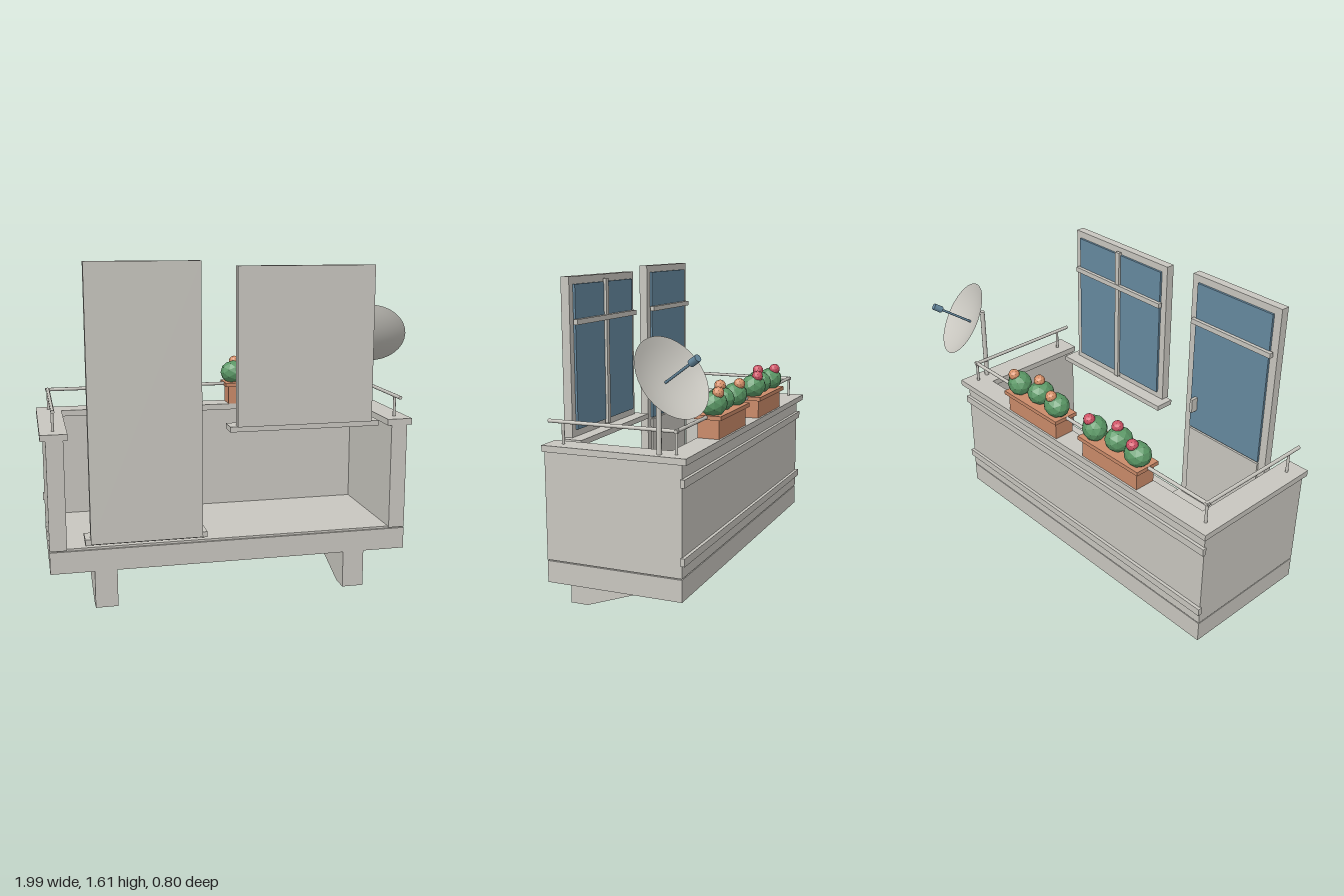
import * as THREE from 'three';

const mat = (name, color, opts = {}) => {
  const m = new THREE.MeshStandardMaterial({ color, ...opts });
  m.name = name;
  return m;
};

export function createModel() {
  const model = new THREE.Group();
  model.name = 'balcony';

  const stone = mat('stone grey', 0xc8c6bf);
  const dishGrey = mat('dish grey', 0xc8c6bf, { side: THREE.DoubleSide });
  const glass = mat('glass blue', 0x66899f);
  const clay = mat('terracotta', 0xca8a69);
  const leaf = mat('leaf green', 0x5a9765, { flatShading: true });
  const red = mat('red flower', 0xcf5265, { flatShading: true });
  const orange = mat('orange flower', 0xd79068, { flatShading: true });

  const add = (name, geo, material, parent = model) => {
    const mesh = new THREE.Mesh(geo, material);
    mesh.name = name;
    parent.add(mesh);
    return mesh;
  };
  // Box given by its lower and upper limits on each axis
  const box = (name, x0, x1, y0, y1, z0, z1, material = stone, parent = model) => {
    const mesh = add(name, new THREE.BoxGeometry(x1 - x0, y1 - y0, z1 - z0), material, parent);
    mesh.position.set((x0 + x1) / 2, (y0 + y1) / 2, (z0 + z1) / 2);
    return mesh;
  };
  // Round bar between two points
  const bar = (name, a, b, r, material = stone, parent = model, sides = 10) => {
    const p = new THREE.Vector3(...a), q = new THREE.Vector3(...b);
    const dir = q.clone().sub(p);
    const mesh = add(name, new THREE.CylinderGeometry(r, r, dir.length(), sides), material, parent);
    mesh.position.copy(p).add(q).multiplyScalar(0.5);
    mesh.quaternion.setFromUnitVectors(new THREE.Vector3(0, 1, 0), dir.normalize());
    return mesh;
  };

  // Floor slab and parapet walls
  box('floorSlab', -0.975, 0.765, 0.18, 0.285, -0.28, 0.4);
  box('rightWall', -0.975, -0.895, 0.29, 0.81, -0.28, 0.4);
  box('leftWall', 0.685, 0.765, 0.29, 0.81, -0.28, 0.4);
  box('outerWall', -0.895, 0.685, 0.29, 0.81, -0.28, -0.2);
  box('floorTop', -0.965, 0.755, 0.285, 0.295, -0.27, 0.39);

  // Coping on the walls
  box('rightCoping', -1, -0.875, 0.81, 0.84, -0.31, 0.4);
  box('leftCoping', 0.665, 0.79, 0.81, 0.84, -0.31, 0.4);
  box('outerCoping', -0.875, 0.665, 0.81, 0.84, -0.31, -0.19);

  // Mouldings across the outer face
  for (const y of [0.35, 0.705]) box('moulding', -0.982, 0.772, y, y + 0.037, -0.296, -0.275);

  // Wedge brackets below the slab
  const wedge = new THREE.Shape([[-0.4, 0], [-0.31, 0], [0.2, 0.18], [-0.4, 0.18]]
    .map(([x, y]) => new THREE.Vector2(x, y)));
  const wedgeGeo = new THREE.ExtrudeGeometry(wedge, { depth: 0.106, bevelEnabled: false });
  for (const x of [-0.665, 0.555]) {
    const bracket = add('bracket', wedgeGeo, stone);
    bracket.rotation.y = Math.PI / 2;
    bracket.position.x = x - 0.106;
  }

  // Handrail
  const railing = new THREE.Group();
  railing.name = 'railing';
  model.add(railing);
  bar('outerRail', [-0.95, 0.943, -0.24], [0.74, 0.943, -0.24], 0.009, stone, railing);
  for (const x of [-0.938, 0.728]) {
    bar('sideRail', [x, 0.943, -0.25], [x, 0.943, 0.395], 0.009, stone, railing);
    for (const z of [-0.24, 0.32]) bar('railPost', [x, 0.84, z], [x, 0.943, z], 0.007, stone, railing);
  }

  // Door
  const door = new THREE.Group();
  door.name = 'door';
  model.add(door);
  box('doorFrame', -0.785, -0.255, 0.31, 1.61, 0.357, 0.4, stone, door);
  box('doorStep', -0.81, -0.232, 0.305, 0.332, 0.28, 0.39, stone, door);
  box('doorGlass', -0.745, -0.295, 0.78, 1.575, 0.346, 0.358, glass, door);
  box('doorPanel', -0.745, -0.295, 0.37, 0.77, 0.346, 0.358, stone, door);
  box('doorTransom', -0.765, -0.28, 1.368, 1.393, 0.328, 0.35, stone, door);
  box('doorHandle', -0.338, -0.322, 0.89, 0.965, 0.308, 0.347, stone, door);

  // Window
  const win = new THREE.Group();
  win.name = 'window';
  model.add(win);
  box('windowFrame', -0.085, 0.58, 0.835, 1.585, 0.357, 0.4, stone, win);
  box('windowSill', -0.12, 0.62, 0.81, 0.836, 0.29, 0.39, stone, win);
  box('windowGlass', -0.05, 0.545, 0.87, 1.55, 0.346, 0.358, glass, win);
  box('windowMullion', 0.233, 0.26, 0.85, 1.565, 0.333, 0.35, stone, win);
  box('windowTransom', -0.062, 0.557, 1.365, 1.39, 0.328, 0.35, stone, win);

  // Flower boxes, each with three bushes
  const bushGeo = new THREE.IcosahedronGeometry(0.07, 1);
  const bloomGeo = new THREE.IcosahedronGeometry(0.029, 1);
  [[-0.382, red], [0.186, orange]].forEach(([cx, bloomColor]) => {
    const planter = new THREE.Group();
    planter.name = 'planter';
    model.add(planter);
    box('planterBox', cx - 0.185, cx + 0.185, 0.84, 0.935, -0.3, -0.192, clay, planter);
    box('planterRim', cx - 0.202, cx + 0.202, 0.932, 0.952, -0.315, -0.18, clay, planter);
    [-0.145, 0, 0.145].forEach((dx, i) => {
      const mid = i === 1;
      const bush = add('bush', bushGeo, leaf, planter);
      bush.position.set(cx + dx, 1.0, mid ? -0.238 : -0.257);
      bush.scale.set(1, 0.88, 0.88);
      bush.rotation.y = i * 1.3;
      const bloom = add('flower', bloomGeo, bloomColor, planter);
      bloom.position.set(cx + dx + 0.01, mid ? 1.065 : 1.055, mid ? -0.237 : -0.283);
    });
  });

  // Satellite dish on its pole
  bar('dishPole', [0.75, 0.84, -0.167], [0.75, 1.22, -0.167], 0.012);
  const dish = new THREE.Group();
  dish.name = 'satelliteDish';
  dish.position.set(0.807, 1.19, -0.257);
  dish.quaternion.setFromUnitVectors(new THREE.Vector3(0, 1, 0),
    new THREE.Vector3(0.3, 0.54, -0.785).normalize());
  model.add(dish);
  const profile = [];
  for (let i = 0; i <= 6; i++) {
    const t = i / 6;
    profile.push(new THREE.Vector2(0.195 * t, 0.05 * (t * t - 1)));
  }
  add('dishBowl', new THREE.LatheGeometry(profile, 32), dishGrey, dish);
  bar('receiverArm', [0, -0.05, 0], [0, 0.14, 0], 0.006, glass, dish);
  bar('receiver', [0, 0.125, 0], [0, 0.172, 0], 0.017, glass, dish);

  return model;
}
